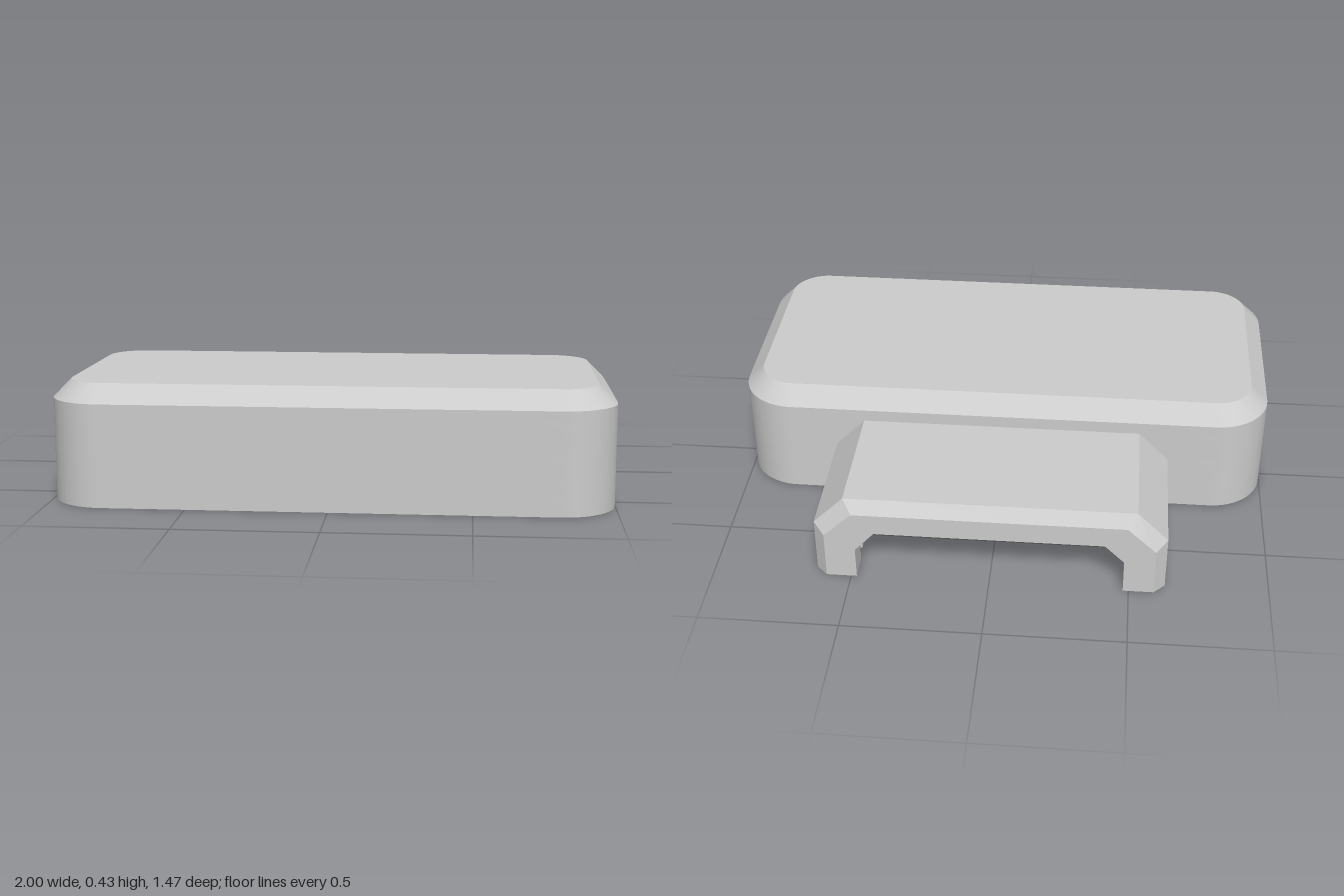
import * as THREE from 'three';
import { toCreasedNormals } from 'three/addons/utils/BufferGeometryUtils.js';

const grey = new THREE.MeshStandardMaterial({ color: 0xcccccc });
grey.name = 'light grey';

const FRONT = -0.737, BACK = 0.22, R = 0.2;
const GROOVES = [[-0.52, -0.41], [-0.295, -0.185]];
const PINS = [[-0.455, 0.115], [-0.17, 0.09]];
// Half outlines of the underside pocket, from its rear end to the front wall
const slotPocket = (rear, shoulder) => [[0.51, rear], [0.51, -shoulder], [0.41, -shoulder], [0.41, -0.535]];
const MAIN_POCKET = [[0.51, 0.07], [0.51, -0.39]];
const mirror = (pts) => [...pts].reverse().map(([x, y]) => [-x, y]);

// Rounded footprint, drawn in (x, -z), with optional side grooves, pin holes and a pocket
function footprint({ grooved = false, pocket = [], pinHoles = false }) {
  const s = new THREE.Shape();
  const cuts = grooved ? GROOVES.flatMap(([a, b]) => [[1, a], [0.95, a], [0.95, b], [1, b]]) : [];
  const fullPocket = [...pocket, ...mirror(pocket)];
  const openBack = pocket.length > 0 && pocket[0][1] === BACK;
  s.moveTo(1 - R, FRONT);
  s.absarc(1 - R, FRONT + R, R, -Math.PI / 2, 0);
  cuts.forEach(([x, v]) => s.lineTo(x, v));
  s.absarc(1 - R, BACK - R, R, 0, Math.PI / 2);
  if (openBack) fullPocket.forEach(([x, v]) => s.lineTo(x, v));
  s.absarc(R - 1, BACK - R, R, Math.PI / 2, Math.PI);
  mirror(cuts).forEach(([x, v]) => s.lineTo(x, v));
  s.absarc(R - 1, FRONT + R, R, Math.PI, Math.PI * 1.5);
  if (pocket.length && !openBack) {
    s.holes.push(new THREE.Path(fullPocket.map(([x, v]) => new THREE.Vector2(x, v))));
  }
  if (pinHoles) {
    for (const side of [-1, 1]) for (const [v, r] of PINS) {
      s.holes.push(new THREE.Path().absarc(side * 0.695, v, r, 0, Math.PI * 2, true));
    }
  }
  return s;
}

function extrude(shape, depth) {
  return new THREE.ExtrudeGeometry(shape, { depth, bevelEnabled: false, curveSegments: 16 });
}

function addMesh(parent, geometry, name) {
  const mesh = new THREE.Mesh(toCreasedNormals(geometry, 0.5), grey);
  mesh.name = name;
  parent.add(mesh);
}

function addLayer(parent, name, y0, y1, options) {
  const g = extrude(footprint(options), y1 - y0);
  g.rotateX(-Math.PI / 2).translate(0, y0, 0);
  addMesh(parent, g, name);
}

// Chamfered arch in (x, y) with the given inner ceiling height, half width and corner cut
function arch(ceiling, inside, cut) {
  const half = [[0.63, 0], [0.63, 0.21], [0.52, 0.322]];
  const inner = [[inside - cut, ceiling], [inside, ceiling - cut], [inside, 0]];
  const pts = [...half, ...mirror(half), ...mirror(inner), ...inner];
  return new THREE.Shape(pts.map(([x, y]) => new THREE.Vector2(x, y)));
}

export function createModel() {
  const model = new THREE.Group();
  model.name = 'connectorHousing';

  // Body, stacked from the underside up
  const body = new THREE.Group();
  body.name = 'body';
  model.add(body);
  const drilled = { grooved: true, pinHoles: true };
  addLayer(body, 'lowerBody', 0, 0.07, { ...drilled, pocket: slotPocket(BACK, 0.48) });
  addLayer(body, 'openBody', 0.07, 0.12, { ...drilled, pocket: slotPocket(BACK, 0.39) });
  addLayer(body, 'slotBody', 0.12, 0.22, { ...drilled, pocket: slotPocket(0.07, 0.39) });
  addLayer(body, 'pocketBody', 0.22, 0.25, { ...drilled, pocket: MAIN_POCKET });
  addLayer(body, 'groovedBody', 0.25, 0.335, { grooved: true, pocket: MAIN_POCKET });
  addLayer(body, 'upperBody', 0.335, 0.368, {});

  // Chamfered lid: the upper rim is drawn in towards the corner centres
  const lid = extrude(footprint({}), 0.065);
  const p = lid.attributes.position;
  for (let i = 0; i < p.count; i++) {
    if (p.getZ(i) < 0.03) continue;
    const cx = THREE.MathUtils.clamp(p.getX(i), R - 1, 1 - R);
    const cv = THREE.MathUtils.clamp(p.getY(i), FRONT + R, BACK - R);
    p.setXY(i, cx + (p.getX(i) - cx) * 0.675, cv + (p.getY(i) - cv) * 0.675);
  }
  lid.rotateX(-Math.PI / 2).translate(0, 0.368, 0);
  addMesh(body, lid, 'chamferedLid');

  // Rear arch, with a lower ceiling near the body and thicker legs at the mouth
  const rear = new THREE.Group();
  rear.name = 'rearArch';
  model.add(rear);
  addMesh(rear, extrude(arch(0.12, 0.51, 0.03), 0.32).translate(0, 0, -0.54), 'archRoot');
  addMesh(rear, extrude(arch(0.2, 0.51, 0.07), 0.1).translate(0, 0, -0.64), 'archShell');
  addMesh(rear, extrude(arch(0.2, 0.48, 0.07), 0.057).translate(0, 0, -0.697), 'archMouth');

  // Chamfered rear rim
  const rim = extrude(arch(0.2, 0.48, 0.07), 0.04);
  const q = rim.attributes.position;
  for (let i = 0; i < q.count; i++) {
    const outer = Math.abs(q.getX(i)) > 0.6 || q.getY(i) > 0.3;
    if (q.getZ(i) < 0.02 && outer) q.setXY(i, q.getX(i) * 0.936, q.getY(i) * 0.87);
  }
  addMesh(rear, rim.translate(0, 0, -0.737), 'archRim');

  // Latch details inside the opening
  for (const side of [-1, 1]) {
    const shelf = new THREE.BoxGeometry(0.08, 0.1, 0.25);
    addMesh(model, shelf.translate(side * 0.475, 0.12, -0.13), 'innerShelf');
    const catchBump = new THREE.BoxGeometry(0.03, 0.12, 0.06);
    addMesh(model, catchBump.translate(side * 0.5, 0.06, -0.55), 'latchCatch');
  }
  return model;
}
